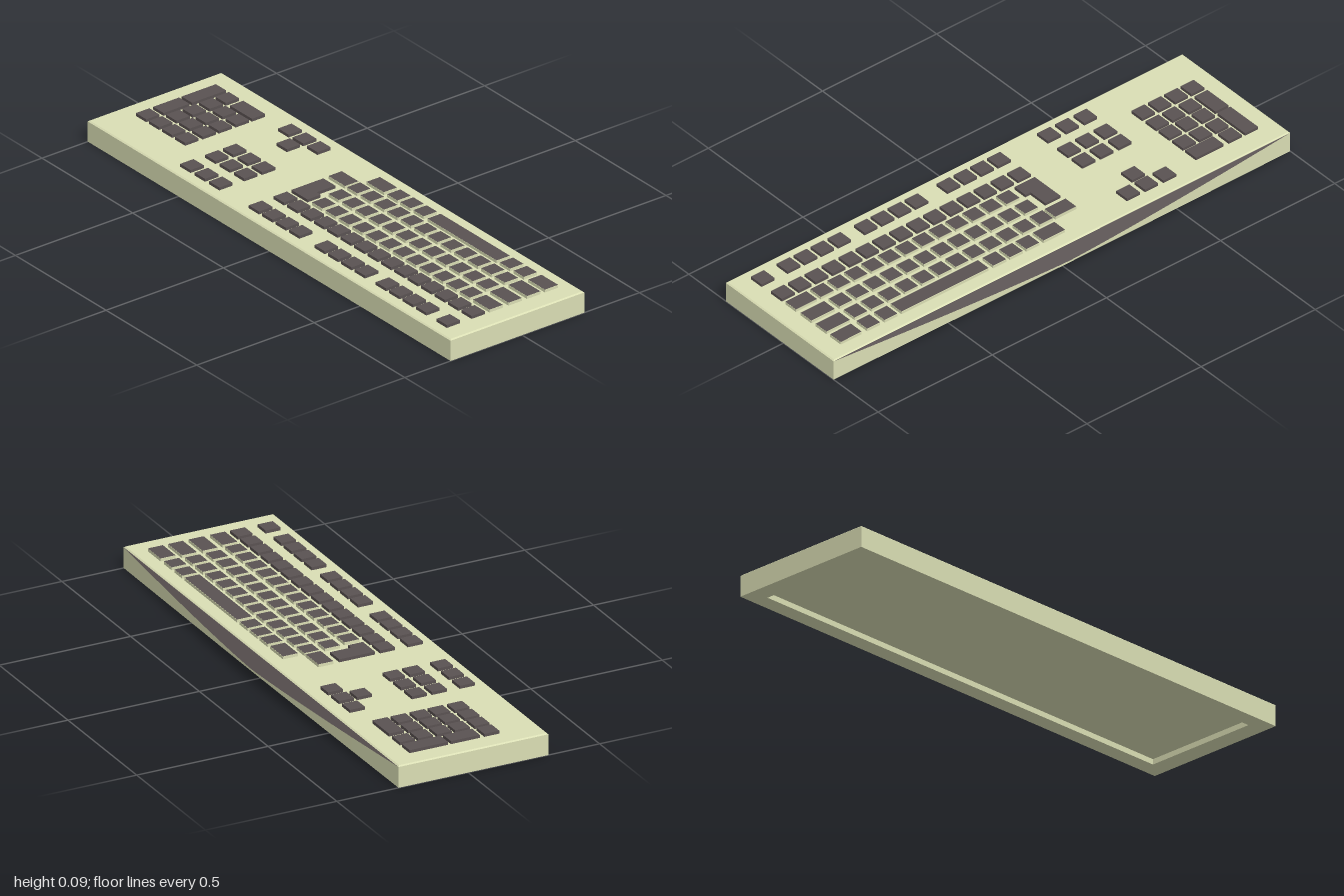
import * as THREE from 'three';

const shell = new THREE.MeshStandardMaterial({ color: 0xdadeb4, flatShading: true });
const shellThin = new THREE.MeshStandardMaterial({ color: 0xdadeb4, side: THREE.DoubleSide, flatShading: true });
const dark = new THREE.MeshStandardMaterial({ color: 0x5a5252, flatShading: true });
const darkThin = new THREE.MeshStandardMaterial({ color: 0x5a5252, side: THREE.DoubleSide, flatShading: true });

const X0 = -0.305, X1 = 0.265, TOP = 0.081, EDGE = 0.077, RECESS = 0.02;
const KEY_TOP = 0.092, KEY = 0.057, PITCH = 0.0739;

function add(parent, name, geometry, material) {
  const mesh = new THREE.Mesh(geometry, material);
  mesh.name = name;
  parent.add(mesh);
  return mesh;
}

// Ribbon between two lines of points
function ribbon(a, b) {
  const v = [], idx = [];
  a.forEach((p, i) => {
    v.push(...p, ...b[i]);
    const k = 2 * i;
    if (i) idx.push(k - 2, k, k - 1, k - 1, k, k + 1);
  });
  const g = new THREE.BufferGeometry();
  g.setAttribute('position', new THREE.Float32BufferAttribute(v, 3));
  g.setIndex(idx);
  g.computeVertexNormals();
  return g;
}

function buildCase(group) {
  // Upper case with a small bevel round the top
  let g = new THREE.BoxGeometry(X1 - X0, 1, 2, 1, 2, 1);
  g.translate((X0 + X1) / 2, 0, 0);
  const p = g.attributes.position;
  for (let i = 0; i < p.count; i++) {
    const y = p.getY(i);
    if (y > 0.1) {
      p.setX(i, p.getX(i) - Math.sign(p.getX(i)) * 0.005);
      p.setZ(i, p.getZ(i) - Math.sign(p.getZ(i)) * 0.005);
    }
    p.setY(i, y > 0.1 ? TOP : y < -0.1 ? RECESS : EDGE);
  }
  g = g.toNonIndexed();
  g.computeVertexNormals();
  add(group, 'case', g, shell);

  // Rim round the recessed underside
  const rect = (Type, x0, x1, z) => new Type([
    new THREE.Vector2(x0, -z), new THREE.Vector2(x1, -z),
    new THREE.Vector2(x1, z), new THREE.Vector2(x0, z)]);
  const rim = rect(THREE.Shape, X0, X1, 1);
  rim.holes.push(rect(THREE.Path, X0 + 0.06, X1 - 0.06, 0.93));
  const rimGeo = new THREE.ExtrudeGeometry(rim, { depth: RECESS, bevelEnabled: false });
  rimGeo.rotateX(-Math.PI / 2);
  add(group, 'bottomRim', rimGeo, shell);
}

// Bowed front edge: a light band between two dark chamfers
function buildFrontEdge(group) {
  const topIn = [], topOut = [], lowOut = [], lowIn = [];
  const n = 32;
  for (let i = 0; i <= n; i++) {
    const z = 1 - 2 * i / n;
    const t = 1 - Math.pow(Math.abs(z), 1.3);
    const x = X1 + 0.04 * t;
    topIn.push([X1, EDGE, z]);
    topOut.push([x, EDGE - 0.034 * t, z]);
    lowOut.push([x, 0.036 * t, z]);
    lowIn.push([X1, 0, z]);
  }
  add(group, 'frontEdgeUpperChamfer', ribbon(topOut, topIn), darkThin);
  add(group, 'frontEdgeBand', ribbon(lowOut, topOut), shellThin);
  add(group, 'frontEdgeLowerChamfer', ribbon(lowIn, lowOut), darkThin);
}

// Key from its footprint; two-tone keys have light sides and a dark top
function key(parent, x, z, w = KEY, d = KEY, twoTone = false) {
  const y0 = TOP - 0.001, h = KEY_TOP - y0 - (twoTone ? 0.0006 : 0);
  const cx = x + w / 2, cz = z + d / 2;
  add(parent, 'key', new THREE.BoxGeometry(w, h, d), twoTone ? shell : dark)
    .position.set(cx, y0 + h / 2, cz);
  if (twoTone) {
    const cap = new THREE.PlaneGeometry(w, d).rotateX(-Math.PI / 2);
    add(parent, 'keyTop', cap, dark).position.set(cx, KEY_TOP, cz);
  }
}

function buildKeys(group) {
  const block = name => {
    const g = new THREE.Group();
    g.name = name;
    group.add(g);
    return g;
  };
  const row = (g, x, z, count, twoTone) => {
    for (let i = 0; i < count; i++) key(g, x, z + i * PITCH, KEY, KEY, twoTone);
  };

  const fn = block('functionKeys');
  row(fn, -0.263, -0.167, 4);
  row(fn, -0.263, 0.195, 4);
  row(fn, -0.263, 0.533, 4);
  key(fn, -0.263, 0.868);

  const main = block('mainKeys');
  row(main, -0.157, -0.167, 15);
  row(main, -0.081, -0.054, 12, true);
  key(main, -0.081, 0.833, KEY, 0.092, true);
  for (const x of [0, 0.079]) {
    row(main, x, -0.068, 12, true);
    key(main, x, 0.822, KEY, 0.103, true);
  }
  key(main, 0.079, -0.17, KEY, 0.092, true);
  // Bottom row with the long bar: [start, length]
  for (const [z, d] of [[-0.058, 0.095], [0.055, KEY], [0.127, KEY], [0.2, KEY],
    [0.277, 0.382], [0.676, KEY], [0.752, KEY], [0.833, 0.092]]) {
    key(main, 0.155, z, KEY, d, true);
  }
  // L-shaped key
  key(main, -0.081, -0.167, KEY, 0.088);
  key(main, -0.024, -0.167, 0.079, 0.066);

  const nav = block('navigationKeys');
  for (const x of [-0.263, -0.157, -0.081]) {
    for (const z of [-0.545, -0.465, -0.386]) key(nav, x, z);
  }
  const arrows = block('arrowKeys');
  for (const z of [-0.545, -0.465, -0.386]) key(arrows, 0.155, z);
  key(arrows, 0.086, -0.465);

  const pad = block('numberPad');
  const px = [-0.157, -0.083, -0.014, 0.058];
  for (const z of [-0.855, -0.783, -0.711]) px.forEach(x => key(pad, x, z));
  key(pad, 0.127, -0.855);
  key(pad, 0.127, -0.775, KEY, 0.121);
  key(pad, -0.157, -0.926);
  key(pad, -0.083, -0.926, 0.11);
  key(pad, 0.038, -0.926, 0.146);
}

export function createModel() {
  const group = new THREE.Group();
  group.name = 'keyboard';
  buildCase(group);
  buildFrontEdge(group);
  buildKeys(group);
  return group;
}
